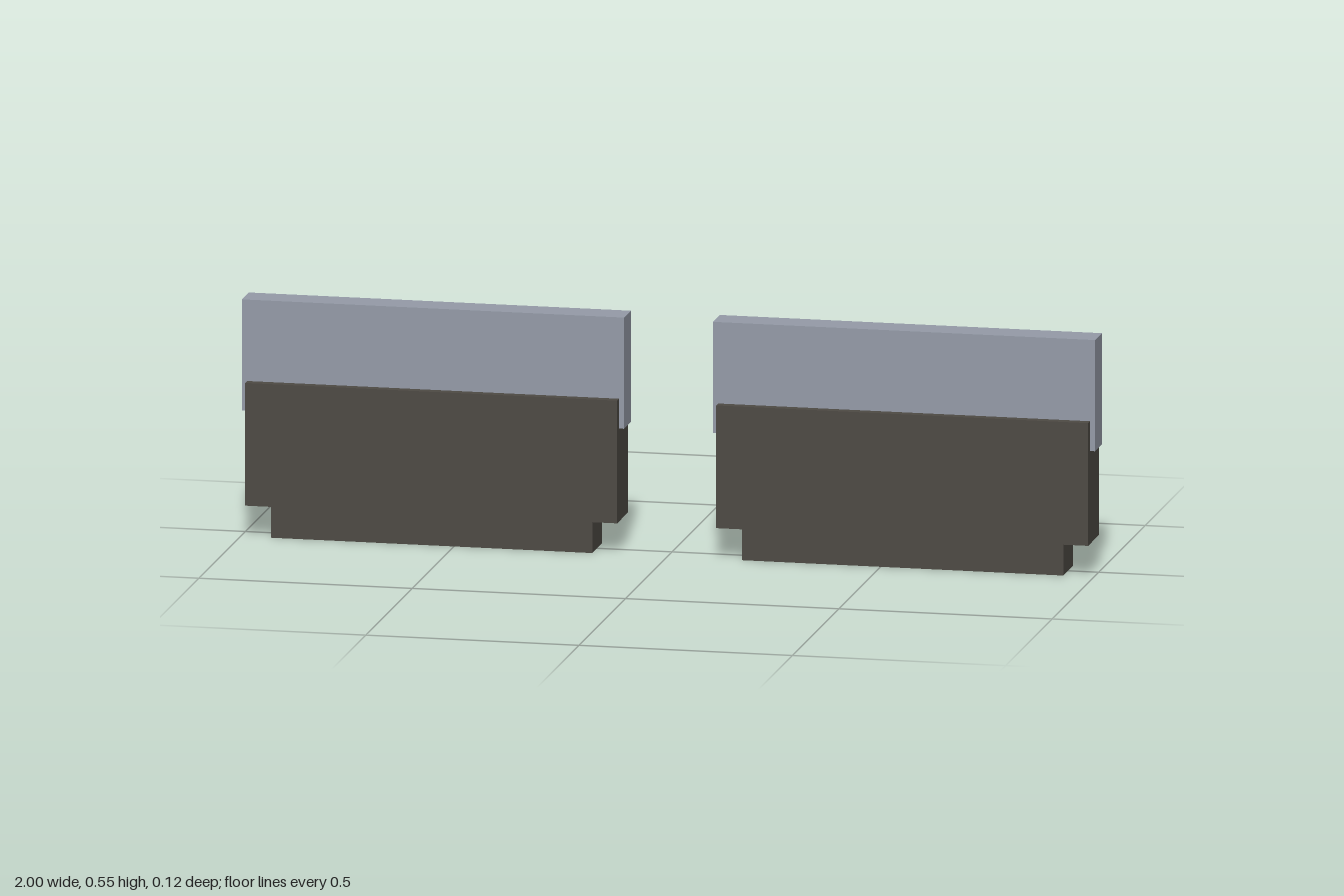
import * as THREE from 'three';

const darkCasing = new THREE.MeshStandardMaterial({ color: 0x4e4a44 });
darkCasing.name = 'dark casing';
const greyMetal = new THREE.MeshStandardMaterial({ color: 0x959ba8 });
greyMetal.name = 'grey metal';

// Box given by width, depth, bottom and top
function slab(name, width, depth, bottom, top, material) {
  const mesh = new THREE.Mesh(new THREE.BoxGeometry(width, top - bottom, depth), material);
  mesh.name = name;
  mesh.position.y = (bottom + top) / 2;
  return mesh;
}

export function createModel() {
  const model = new THREE.Group();
  model.name = 'bladePair';
  for (const side of [-1, 1]) {
    const unit = new THREE.Group();
    unit.name = side > 0 ? 'leftUnit' : 'rightUnit';
    unit.add(
      // narrow foot, wider holder, and the plate set into the holder
      slab('foot', 0.753, 0.102, 0, 0.074, darkCasing),
      slab('holder', 0.872, 0.116, 0.074, 0.362, darkCasing),
      slab('plate', 0.896, 0.074, 0.292, 0.553, greyMetal)
    );
    unit.position.x = side * 0.552;
    model.add(unit);
  }
  return model;
}
